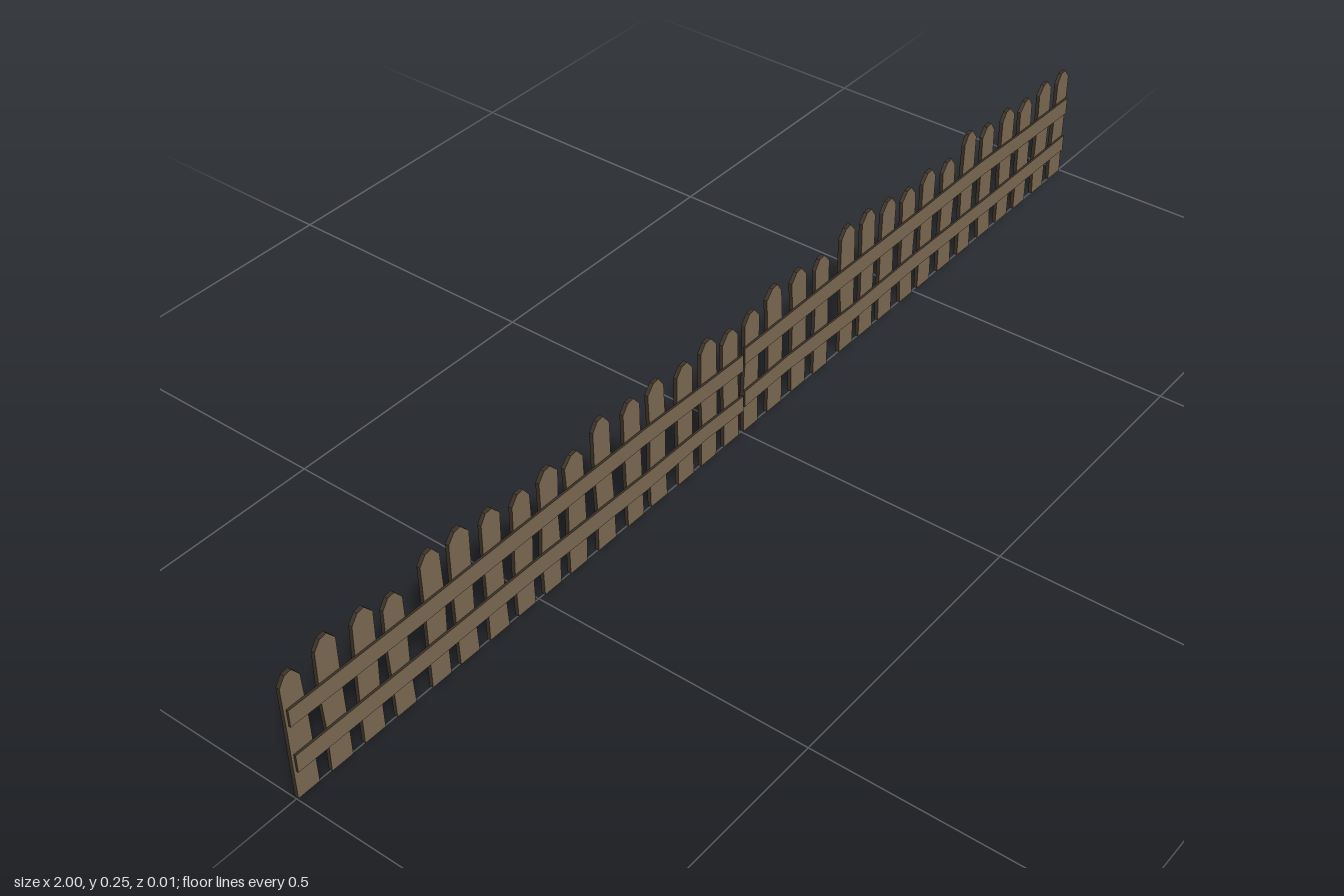
import * as THREE from 'three';

const face = new THREE.MeshStandardMaterial({ color: 0x7d6b53, flatShading: true });
const edge = new THREE.MeshStandardMaterial({ color: 0x3a3027, flatShading: true });

// centre x and top height of every picket, in hundredths
const pickets = [
  [-98, 23], [-91.5, 24.5], [-84.8, 24], [-78.8, 22.5], [-71.3, 25], [-65.5, 25], [-59, 24], [-52.7, 23],
  [-46.8, 23.5], [-40.8, 22.5], [-34.5, 25], [-27.5, 24], [-21.6, 24], [-14.7, 23], [-8.8, 24], [-2.9, 22.5],
  [2.4, 23], [8.8, 24.5], [15.3, 24], [21.6, 23], [29.1, 25.1], [35, 25], [41, 24], [47.3, 23],
  [53.2, 23.5], [59.6, 22.5], [66, 25], [72.5, 23.5], [78.9, 23.5], [85.2, 22.5], [91.7, 23], [97.7, 22.5],
];

// seeded wobble for the hand-cut outlines
let seed = 7;
function wobble(amount) {
  seed = (seed * 16807) % 2147483647;
  return (seed / 2147483647 - 0.5) * 2 * amount;
}

// flat board cut from an outline, with darker cut edges
function board(name, points, z, depth) {
  const shape = new THREE.Shape(points.map(([x, y]) => new THREE.Vector2(x, y)));
  const geometry = new THREE.ExtrudeGeometry(shape, { depth, bevelEnabled: false });
  geometry.translate(0, 0, z);
  const mesh = new THREE.Mesh(geometry, [face, edge]);
  mesh.name = name;
  return mesh;
}

// upright with a clipped point and slightly crooked sides
function picketOutline(x, top) {
  const half = 0.0195, lean = wobble(0.002), j = () => wobble(0.0015);
  const limit = (v) => Math.max(-1, Math.min(1, v));
  const left = [], right = [];
  for (const t of [0, 0.35, 0.65, 1]) {
    const y = t === 0 ? Math.abs(wobble(0.002)) : t * (top - 0.018);
    const bend = x + lean * (t * 2 - 1) + j();
    left.push([limit(bend - half + j()), y]);
    right.push([limit(bend + half + j()), y]);
  }
  return [...left, [x + lean - 0.007, top - 0.002], [x + lean + 0.006, top], ...right.reverse()];
}

// long rail with uneven edges, following a centre line of [x, y] points
function railOutline(line, half) {
  const lower = line.map(([x, y]) => [x, y - half + wobble(0.0015)]);
  const upper = line.map(([x, y]) => [x, y + half + wobble(0.0015)]);
  return [...lower, ...upper.reverse()];
}

export function createModel() {
  const fence = new THREE.Group();
  fence.name = 'picketFence';

  // uprights
  const uprights = new THREE.Group();
  uprights.name = 'pickets';
  pickets.forEach(([x, top], i) => {
    uprights.add(board(`picket${i + 1}`, picketOutline(x / 100, top / 100), -0.004, 0.007));
  });
  fence.add(uprights);

  // two rails, each made of two lengths meeting in the middle
  const rails = new THREE.Group();
  rails.name = 'rails';
  const lines = {
    upperRailRight: [[-0.995, 0.155], [-0.75, 0.152], [-0.5, 0.153], [-0.25, 0.153], [-0.1, 0.148], [-0.002, 0.145]],
    upperRailLeft: [[0.002, 0.155], [0.25, 0.156], [0.5, 0.154], [0.7, 0.156], [0.85, 0.149], [0.995, 0.146]],
    lowerRailRight: [[-0.995, 0.069], [-0.75, 0.068], [-0.5, 0.069], [-0.25, 0.064], [-0.1, 0.067], [-0.002, 0.063]],
    lowerRailLeft: [[0.002, 0.07], [0.12, 0.073], [0.3, 0.066], [0.5, 0.069], [0.75, 0.066], [0.995, 0.066]],
  };
  for (const [name, line] of Object.entries(lines)) {
    rails.add(board(name, railOutline(line, 0.0155), 0.003, 0.004));
  }
  fence.add(rails);
  return fence;
}
